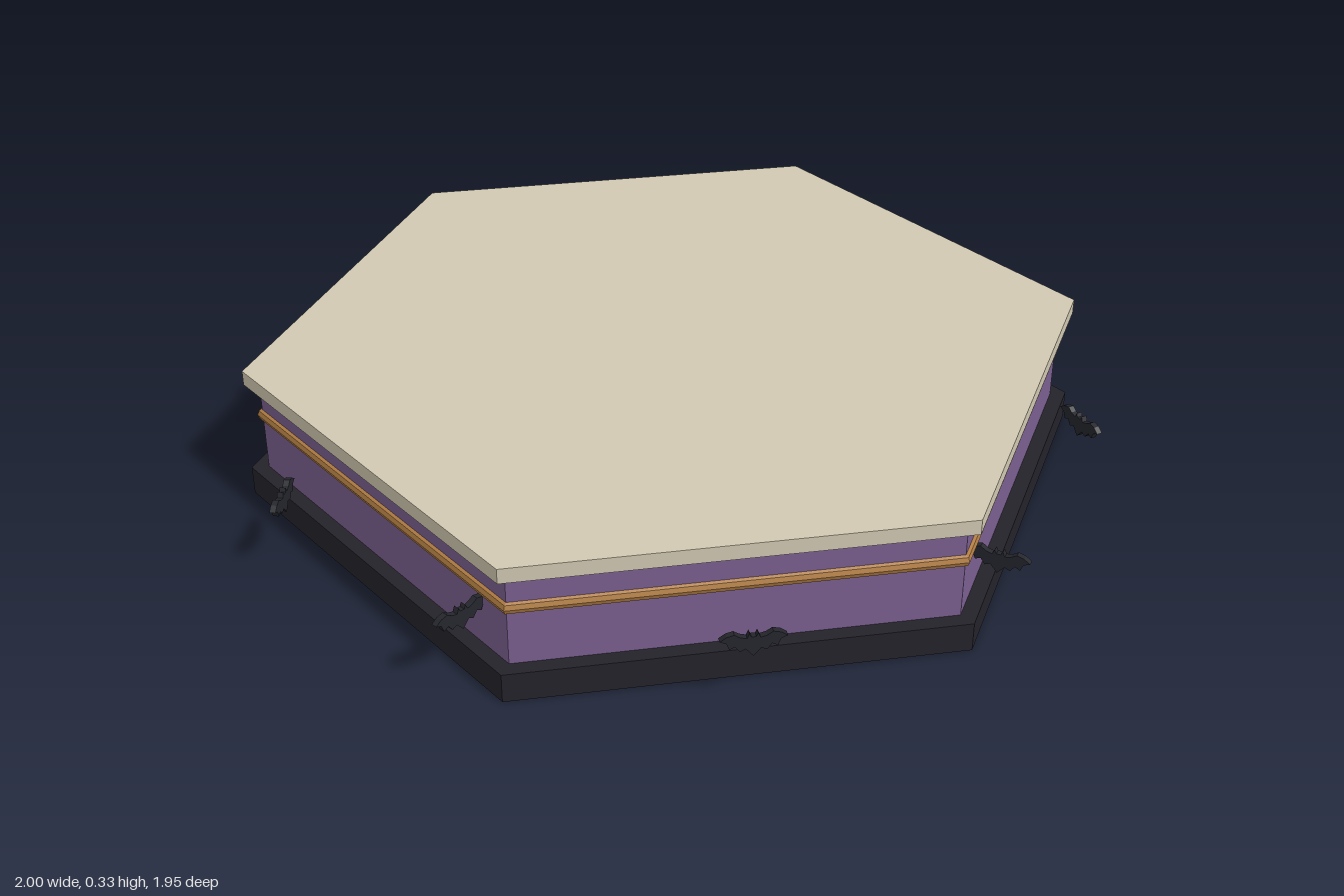
import * as THREE from 'three';

const mat = (color) => new THREE.MeshStandardMaterial({ color, flatShading: true });

// Six-sided slab with corners on the x axis
function hexSlab(name, radius, y0, y1, color) {
  const geo = new THREE.CylinderGeometry(radius, radius, y1 - y0, 6);
  geo.rotateY(Math.PI / 2);
  const mesh = new THREE.Mesh(geo, mat(color));
  mesh.name = name;
  mesh.position.y = (y0 + y1) / 2;
  return mesh;
}

// Thin bat silhouette, mirrored from its right half
function batGeometry() {
  const half = [
    [0, 0.017], [0.005, 0.017], [0.009, 0.026], [0.014, 0.014], [0.028, 0.018],
    [0.04, 0.026], [0.056, 0.022], [0.07, 0.012], [0.056, 0.006], [0.05, -0.010],
    [0.038, -0.004], [0.028, -0.018], [0.016, -0.012], [0, -0.031],
  ];
  const left = half.slice(1, -1).reverse().map(([x, y]) => [-x, y]);
  const shape = new THREE.Shape([...half, ...left].map(([x, y]) => new THREE.Vector2(x, y)));
  const geo = new THREE.ExtrudeGeometry(shape, { depth: 0.014, bevelEnabled: false });
  return geo.translate(0, 0, -0.007);
}

export function createModel() {
  const model = new THREE.Group();
  model.name = 'hexagonalPlatform';

  model.add(
    hexSlab('base', 1.0, 0, 0.07, 0x24232a),
    hexSlab('body', 0.96, 0.07, 0.297, 0x7b5f90),
    hexSlab('topPlate', 0.995, 0.297, 0.333, 0xd2c9b2),
  );

  // Gold trim running around the body
  const trim = new THREE.Mesh(new THREE.TorusGeometry(0.957, 0.015, 8, 6), mat(0xb07c42));
  trim.name = 'trim';
  trim.rotation.x = Math.PI / 2;
  trim.position.y = 0.213;
  model.add(trim);

  // Ring of ten bats floating around the body
  const bats = new THREE.Group();
  bats.name = 'bats';
  const geo = batGeometry();
  const batMat = mat(0x25262d);
  for (let i = 0; i < 10; i++) {
    const a = (i / 10) * Math.PI * 2;
    const bat = new THREE.Mesh(geo, batMat);
    bat.name = 'bat';
    bat.position.set(Math.sin(a) * 0.97, 0.171, Math.cos(a) * 0.97);
    bat.rotation.y = -a;
    bats.add(bat);
  }
  model.add(bats);
  return model;
}
